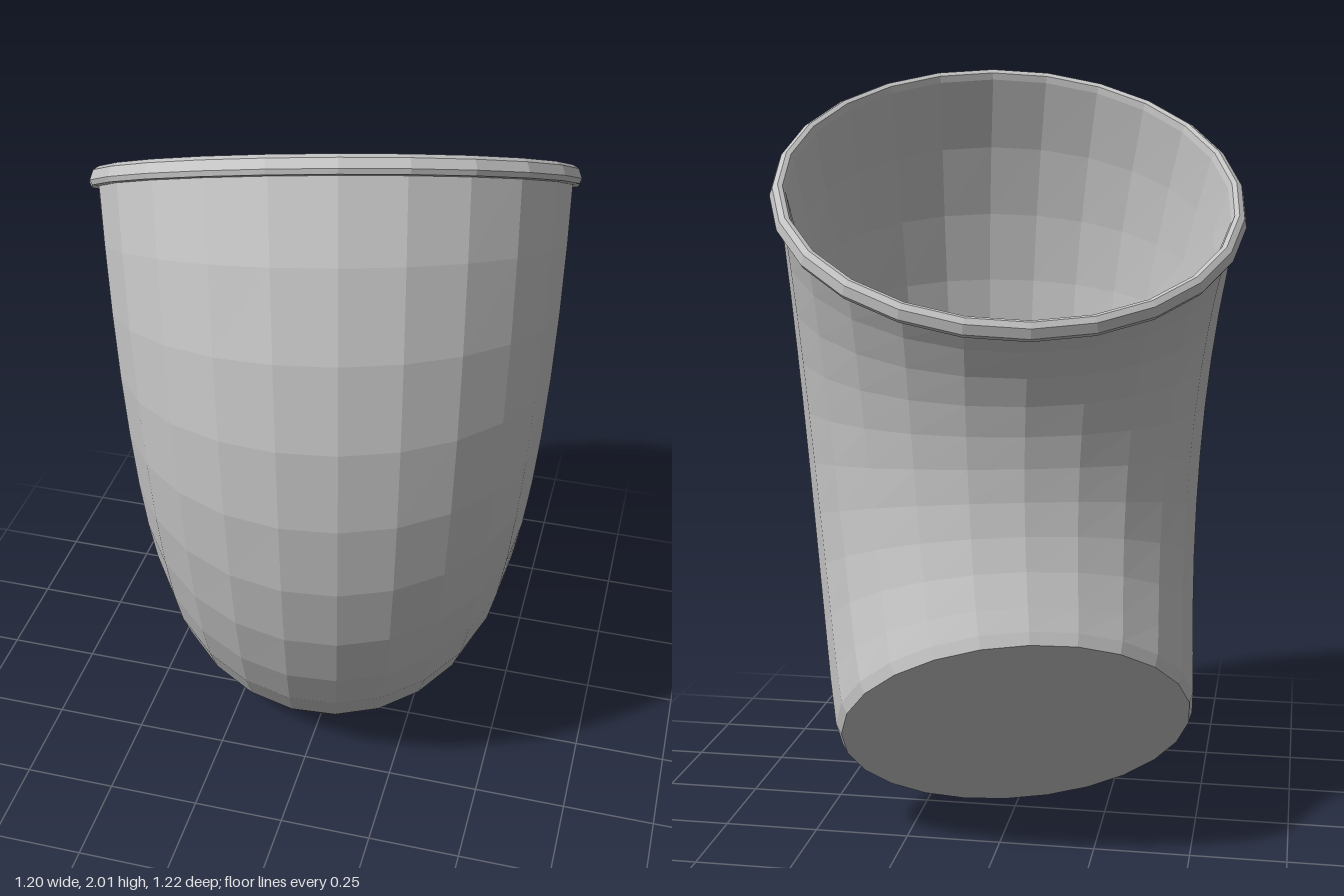
import * as THREE from 'three';

const SIDES = 24;
const BEND = 1.13;                       // radius of the elbow's centre line
const TURN = 0.262;                      // yaw of the plane the elbow bends in
const PIVOT = new THREE.Vector3(-0.252, 1.12, -1.025);
const TOP = 30.2, BOTTOM = -45.5;        // arc angles of the two ends, degrees

// One cross-section: angle on the bend, radius, shift along the centre line.
// A second angle and radius make every other corner differ (pleats).
function ring(deg, r, shift = 0, deg2 = deg, r2 = r) {
  const points = [];
  for (let j = 0; j < SIDES; j++) {
    const t = THREE.MathUtils.degToRad(j % 2 ? deg2 : deg);
    const radius = j % 2 ? r2 : r;
    const a = (j / SIDES) * Math.PI * 2;
    const out = new THREE.Vector3(Math.sin(TURN) * Math.cos(t), Math.sin(t), Math.cos(TURN) * Math.cos(t));
    const side = new THREE.Vector3(Math.cos(TURN), 0, -Math.sin(TURN));
    const along = new THREE.Vector3().crossVectors(out, side);
    points.push(PIVOT.clone()
      .addScaledVector(out, BEND + radius * Math.cos(a))
      .addScaledVector(side, radius * Math.sin(a))
      .addScaledVector(along, shift));
  }
  return points;
}

// Joins successive rings with flat faces
function loft(name, rings, material) {
  const pos = [];
  const tri = (a, b, c) => {
    const area = b.clone().sub(a).cross(c.clone().sub(a)).length();
    if (area > 1e-9) for (const p of [a, b, c]) pos.push(p.x, p.y, p.z);
  };
  for (let i = 0; i < rings.length - 1; i++) {
    for (let j = 0; j < SIDES; j++) {
      const k = (j + 1) % SIDES;
      tri(rings[i][j], rings[i][k], rings[i + 1][k]);
      tri(rings[i][j], rings[i + 1][k], rings[i + 1][j]);
    }
  }
  const geometry = new THREE.BufferGeometry();
  geometry.setAttribute('position', new THREE.Float32BufferAttribute(pos, 3));
  geometry.computeVertexNormals();
  const mesh = new THREE.Mesh(geometry, material);
  mesh.name = name;
  return mesh;
}

// Rings evenly spaced along the bend with a linear taper
function taper(deg0, r0, deg1, r1, steps) {
  return Array.from({ length: steps + 1 }, (_, i) =>
    ring(THREE.MathUtils.lerp(deg0, deg1, i / steps), THREE.MathUtils.lerp(r0, r1, i / steps)));
}

export function createModel() {
  const group = new THREE.Group();
  group.name = 'elbowCup';
  const grey = new THREE.MeshStandardMaterial({ color: 0xc4c4c4 });
  grey.name = 'grey';

  // Flat closed end with a narrow bevel
  const bevel = ring(BOTTOM, 0.466, 0.03);
  group.add(loft('base', [ring(BOTTOM, 0), ring(BOTTOM, 0.453), bevel], grey));

  // Outer wall, widening towards the opening
  const wall = taper(BOTTOM, 0.466, TOP, 0.588, 10);
  group.add(loft('outerWall', [bevel, ...wall.slice(1)], grey));

  // Lip around the opening, sloping in towards its top
  group.add(loft('rim', [
    [0.582, -0.026], [0.602, -0.024], [0.608, -0.012], [0.6, 0.012],
    [0.586, 0.021], [0.574, 0.017], [0.567, 0],
  ].map(([r, shift]) => ring(TOP, r, shift)), grey));

  // Inner wall, narrowing to a pleated edge
  const pleat = ring(-28, 0.28, 0, -23.5, 0.335);
  group.add(loft('lining', [...taper(TOP, 0.567, -10, 0.41, 6), pleat], grey));

  // Pleated floor fanning out from a low centre
  const hub = Array(SIDES).fill(new THREE.Vector3(-0.035, 0.48, -0.2));
  group.add(loft('pleatedFloor', [pleat, hub], grey));

  return group;
}
